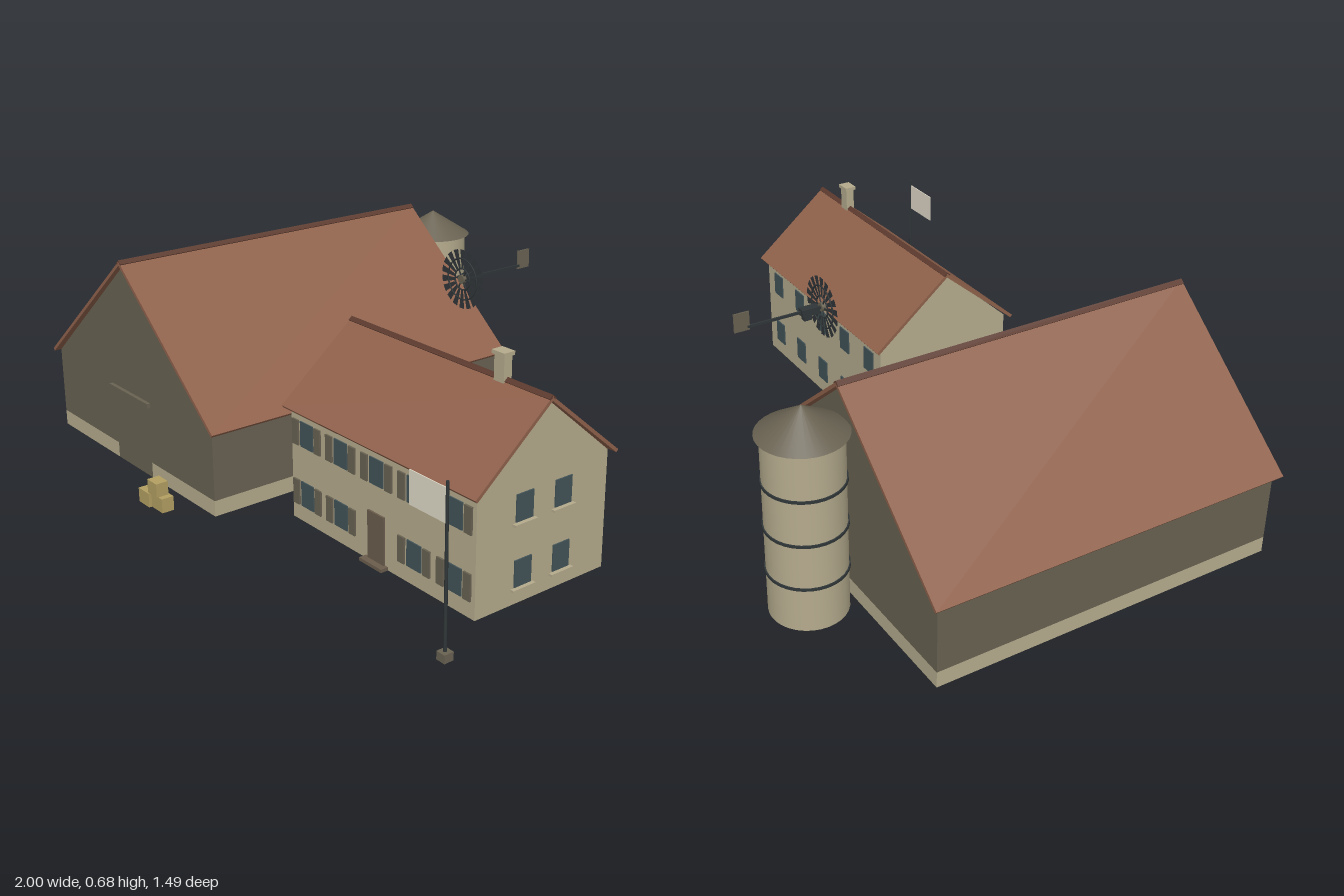
import * as THREE from 'three';

const mat = (name, color, side = THREE.FrontSide) => {
  const m = new THREE.MeshStandardMaterial({ color, side });
  m.name = name;
  return m;
};

export function createModel() {
  const root = new THREE.Group();
  root.name = 'farmstead';
  const stone = mat('pale stone', 0xb5ab8d);
  const timber = mat('weathered timber', 0x696252, THREE.DoubleSide);
  const tile = mat('clay roof', 0x8f614b);
  const ridge = mat('dark ridge', 0x5c3a2e);
  const glass = mat('window glass', 0x425357);
  const iron = mat('dark iron', 0x303638, THREE.DoubleSide);
  const doorWood = mat('door wood', 0x6b5d4d);
  const straw = mat('straw', 0xb39f62);
  const cloth = mat('flag cloth', 0xe0dac8, THREE.DoubleSide);

  const group = (name, x = 0, y = 0, z = 0) => {
    const g = new THREE.Group();
    g.name = name;
    g.position.set(x, y, z);
    root.add(g);
    return g;
  };
  const add = (parent, name, geo, material, x = 0, y = 0, z = 0) => {
    const m = new THREE.Mesh(geo, material);
    m.name = name;
    m.position.set(x, y, z);
    parent.add(m);
    return m;
  };
  // box given by its minimum and maximum corners
  const box = (parent, name, material, x0, x1, y0, y1, z0, z1) =>
    add(parent, name, new THREE.BoxGeometry(x1 - x0, y1 - y0, z1 - z0), material,
      (x0 + x1) / 2, (y0 + y1) / 2, (z0 + z1) / 2);
  // polygon extruded along z, centred
  const prism = (points, depth) => {
    const shape = new THREE.Shape(points.map(p => new THREE.Vector2(...p)));
    return new THREE.ExtrudeGeometry(shape, { depth, bevelEnabled: false }).translate(0, 0, -depth / 2);
  };
  const gable = (w, y0, eave, top, depth) =>
    prism([[-w, y0], [w, y0], [w, eave], [0, top], [-w, eave]], depth);
  // two-slope roof with eaves cut square to the slope
  const roof = (w, eave, top, t, depth) => {
    const a = Math.atan2(top - eave, w), dx = t * Math.sin(a), dy = t * Math.cos(a);
    return prism([[0, top], [-w, eave], [-w + dx, eave - dy], [0, top - t / Math.cos(a)],
      [w - dx, eave - dy], [w, eave]], depth);
  };

  // Barn: hollow timber walls on a stone footing
  const barn = group('barn');
  const cx = -0.507, bw = 0.467, zf = 0.625, zb = -0.495, t = 0.02, foot = 0.05;
  const L = cx - bw, R = cx + bw;
  add(barn, 'frontGable', gable(bw, foot, 0.27, 0.664, t), timber, cx, 0, zf - t / 2);
  add(barn, 'backGable', gable(bw, foot, 0.27, 0.664, t), timber, cx, 0, zb + t / 2);
  for (const [x0, x1] of [[L, L + t], [R - t, R]]) {
    box(barn, 'sideWall', timber, x0, x1, foot, 0.27, zb + t, zf - t);
    box(barn, 'sideFooting', stone, x0, x1, 0, foot, zb + t, zf - t);
  }
  box(barn, 'backFooting', stone, L, R, 0, foot, zb, zb + t);
  box(barn, 'frontFootingLeft', stone, -0.4, R, 0, foot, zf - t, zf);
  box(barn, 'frontFootingRight', stone, L, -0.61, 0, foot, zf - t, zf);
  box(barn, 'barnDoor', timber, -0.61, -0.4, 0, foot, zf - t, zf);
  box(barn, 'doorRail', timber, -0.625, -0.39, 0.237, 0.252, zf, zf + 0.012);
  box(barn, 'sideDoor', iron, R, R + 0.006, 0, 0.145, 0.1, 0.2);
  add(barn, 'barnRoof', roof(0.493, 0.27, 0.68, 0.01, 1.155), tile, cx, 0, 0.0625);
  add(barn, 'ridgeCap', roof(0.013, 0.673, 0.684, 0.006, 1.155), ridge, cx, 0, 0.0625);

  // Silo with hoops and a conical cap
  const silo = group('silo', cx, 0, -0.617);
  add(silo, 'siloWall', new THREE.CylinderGeometry(0.114, 0.114, 0.565, 32), stone, 0, 0.2825, 0);
  add(silo, 'siloCap', new THREE.ConeGeometry(0.128, 0.082, 32), timber, 0, 0.603, 0);
  for (const y of [0.14, 0.28, 0.42])
    add(silo, 'hoop', new THREE.CylinderGeometry(0.118, 0.118, 0.008, 32), iron, 0, y, 0);

  // House body and roof
  const house = group('house');
  const hx = 0.495, hz = 0.205, face = 0.44, back = -0.03, side = 0.89;
  add(house, 'houseWalls', gable(0.235, 0, 0.35, 0.55, 0.79), stone, hx, 0, hz).rotation.y = Math.PI / 2;
  add(house, 'houseRoof', roof(0.257, 0.35, 0.564, 0.01, 0.825), tile, hx, 0, hz).rotation.y = Math.PI / 2;
  add(house, 'houseRidge', roof(0.012, 0.558, 0.568, 0.006, 0.825), ridge, hx, 0, hz).rotation.y = Math.PI / 2;
  box(house, 'chimney', stone, 0.705, 0.743, 0.52, 0.626, 0.191, 0.219);
  box(house, 'chimneyCap', stone, 0.7, 0.748, 0.626, 0.637, 0.186, 0.224);

  // Windows: five bays front and back, two on the left end
  const p = 0.004;
  for (const y of [0.05, 0.238]) {
    const top = y + 0.078;
    for (let i = -2; i <= 2; i++) {
      const x = 0.492 + i * 0.159;
      box(house, 'backWindow', glass, x - 0.029, x + 0.029, y, top, back - p, back);
      if (i === 0 && y < 0.1) continue;
      box(house, 'frontWindow', glass, x - 0.029, x + 0.029, y, top, face, face + p);
      for (const s of [-1, 1])
        box(house, 'shutter', timber, x + s * 0.052 - 0.014, x + s * 0.052 + 0.014, y, top, face, face + 0.006);
    }
    for (const z of [0.275, 0.135]) {
      box(house, 'sideWindow', glass, side, side + p, y, top, z - 0.03, z + 0.03);
      box(house, 'sill', stone, side, side + 0.012, y - 0.01, y - 0.003, z - 0.04, z + 0.04);
    }
  }
  box(house, 'frontDoor', doorWood, 0.457, 0.527, 0, 0.155, face, face + 0.006);
  box(house, 'doorStep', doorWood, 0.444, 0.54, 0, 0.01, face, 0.465);

  // Flagpole
  const flag = group('flagpole', 0.981, 0, 0.62);
  add(flag, 'poleBase', new THREE.BoxGeometry(0.03, 0.024, 0.03), timber, 0, 0.012, 0);
  add(flag, 'pole', new THREE.CylinderGeometry(0.004, 0.005, 0.455, 8), iron, 0, 0.25, 0);
  add(flag, 'flag', new THREE.BoxGeometry(0.135, 0.093, 0.003), cloth, -0.07, 0.413, 0);

  // Straw bales
  const bales = group('bales');
  box(bales, 'baleLeft', straw, -0.275, -0.217, 0, 0.045, 0.705, 0.745);
  box(bales, 'baleRight', straw, -0.217, -0.157, 0, 0.045, 0.695, 0.735);
  box(bales, 'baleTop', straw, -0.228, -0.177, 0.045, 0.088, 0.7, 0.74);

  // Wind pump head: bladed wheel, gearbox, tail
  const mill = group('windWheel', 0.05, 0.585, -0.258);
  const blade = new THREE.ShapeGeometry(new THREE.Shape([
    new THREE.Vector2(-0.004, 0.032), new THREE.Vector2(0.004, 0.032),
    new THREE.Vector2(0.011, 0.095), new THREE.Vector2(-0.011, 0.095)]));
  for (let i = 0; i < 18; i++)
    add(mill, 'blade', blade, iron).rotation.z = (i / 18) * Math.PI * 2;
  for (const r of [0.034, 0.066])
    add(mill, 'wheelRing', new THREE.TorusGeometry(r, 0.0025, 6, 36), iron);
  for (let i = 0; i < 3; i++)
    add(mill, 'spoke', new THREE.BoxGeometry(0.07, 0.004, 0.003), iron).rotation.z = (i * Math.PI) / 3;
  add(mill, 'hub', new THREE.CylinderGeometry(0.014, 0.014, 0.012, 16), timber).rotation.x = Math.PI / 2;
  box(mill, 'gearbox', iron, -0.014, 0.014, -0.012, 0.01, -0.072, -0.015);
  box(mill, 'gearboxFoot', iron, -0.01, 0.01, -0.028, -0.012, -0.065, -0.04);
  box(mill, 'tailBoom', iron, -0.003, 0.003, -0.004, 0.004, -0.245, 0);
  box(mill, 'tailVane', timber, -0.002, 0.002, -0.01, 0.05, -0.288, -0.238);

  // Water trough with its pump pipe
  const trough = group('trough');
  box(trough, 'troughFloor', timber, 0.09, 0.215, 0.004, 0.012, -0.385, -0.293);
  for (const [x0, x1] of [[0.09, 0.097], [0.208, 0.215]])
    box(trough, 'troughEnd', timber, x0, x1, 0, 0.034, -0.385, -0.293);
  for (const [z0, z1] of [[-0.385, -0.378], [-0.3, -0.293]])
    box(trough, 'troughSide', timber, 0.097, 0.208, 0, 0.034, z0, z1);
  box(trough, 'water', timber, 0.097, 0.208, 0.012, 0.028, -0.378, -0.3);
  add(trough, 'pumpPipe', new THREE.CylinderGeometry(0.003, 0.003, 0.07, 8), iron, 0.075, 0.035, -0.337);

  return root;
}
